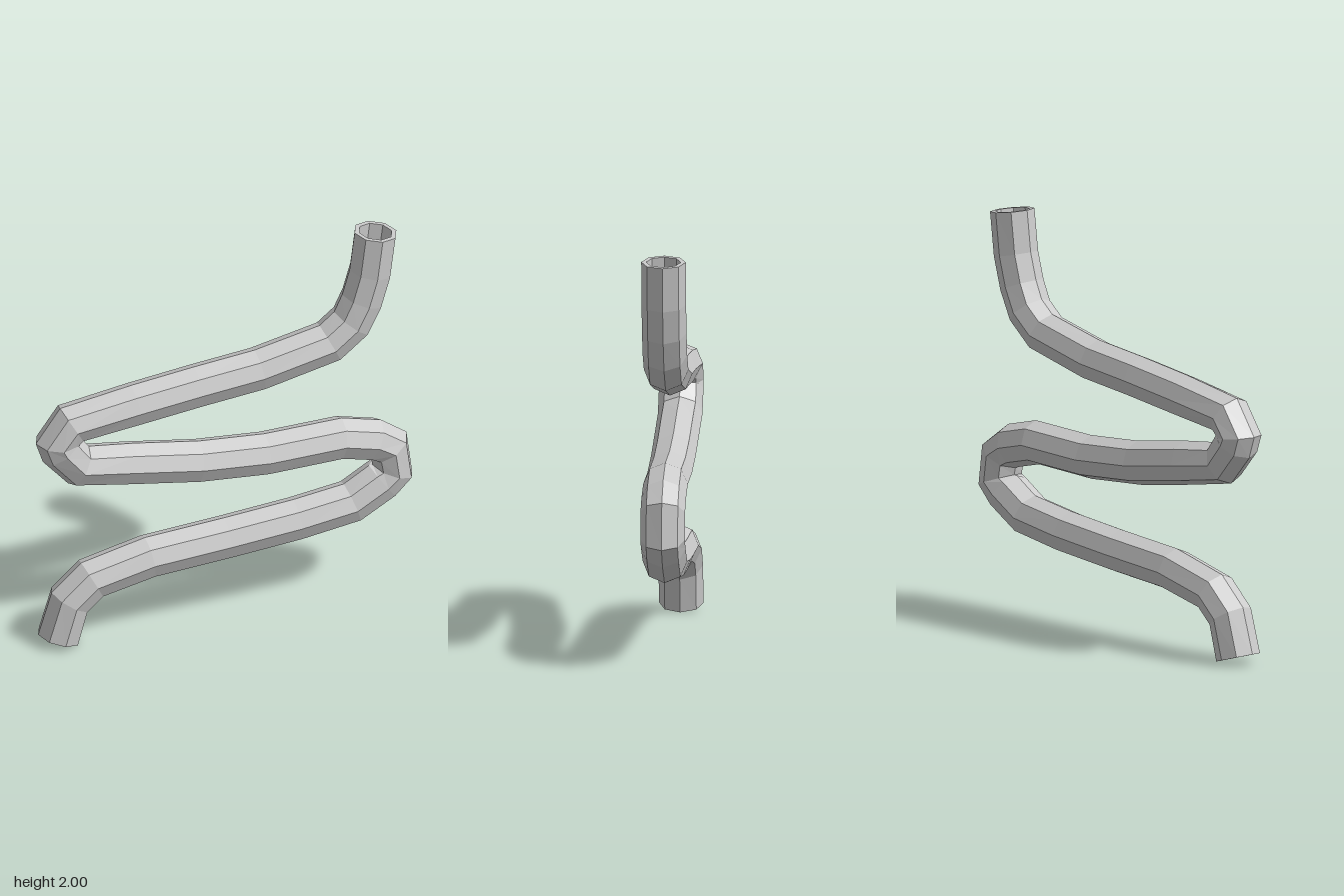
import * as THREE from 'three';

const SIDES = 8, OUTER = 0.108, INNER = 0.084;

// centre line of the pipe in the x-y plane, from the bottom end to the top end
const PATH = [
  [-0.857, 0.03], [-0.8, 0.225], [-0.69, 0.325], [-0.397, 0.392], [0, 0.422], [0.36, 0.455],
  [0.643, 0.497], [0.8, 0.59], [0.857, 0.64], [0.838, 0.772], [0.757, 0.823], [0.587, 0.865],
  [0.2, 0.854], [-0.145, 0.88], [-0.49, 0.935], [-0.754, 0.976], [-0.846, 1.087], [-0.865, 1.125],
  [-0.794, 1.217], [-0.47, 1.262], [-0.15, 1.302], [0.167, 1.336], [0.53, 1.418], [0.643, 1.51],
  [0.7, 1.627], [0.743, 1.775], [0.77, 1.987],
].map(([x, y]) => new THREE.Vector2(x, y));

// octagonal cross-section at path point i, square to the mean direction there
function ring(i, radius) {
  const c = PATH[i], t = new THREE.Vector2();
  if (i > 0) t.add(c.clone().sub(PATH[i - 1]).normalize());
  if (i < PATH.length - 1) t.add(PATH[i + 1].clone().sub(c).normalize());
  t.normalize();
  return Array.from({ length: SIDES }, (_, j) => {
    const a = (j / SIDES) * Math.PI * 2, n = Math.cos(a) * radius;
    return [c.x + t.y * n, c.y - t.x * n, Math.sin(a) * radius];
  });
}

export function createModel() {
  // up the outer wall, over the top rim, down the bore and back over the bottom rim
  const order = PATH.map((_, i) => i);
  const rings = [
    ...order.map(i => ring(i, OUTER)),
    ...order.slice().reverse().map(i => ring(i, INNER)),
  ];
  const index = [];
  rings.forEach((_, i) => {
    const k = (i + 1) % rings.length;
    for (let j = 0; j < SIDES; j++) {
      const m = (j + 1) % SIDES;
      const a = i * SIDES + j, b = k * SIDES + j, c = k * SIDES + m, d = i * SIDES + m;
      index.push(a, b, c, a, c, d);
    }
  });

  let geometry = new THREE.BufferGeometry();
  geometry.setAttribute('position', new THREE.Float32BufferAttribute(rings.flat(2), 3));
  geometry.setIndex(index);
  geometry = geometry.toNonIndexed();
  geometry.computeVertexNormals();

  const pipe = new THREE.Mesh(geometry, new THREE.MeshStandardMaterial({ color: 0xcccccc, flatShading: true }));
  pipe.name = 'bentPipe';
  const group = new THREE.Group();
  group.name = 'serpentinePipe';
  group.add(pipe);
  return group;
}
